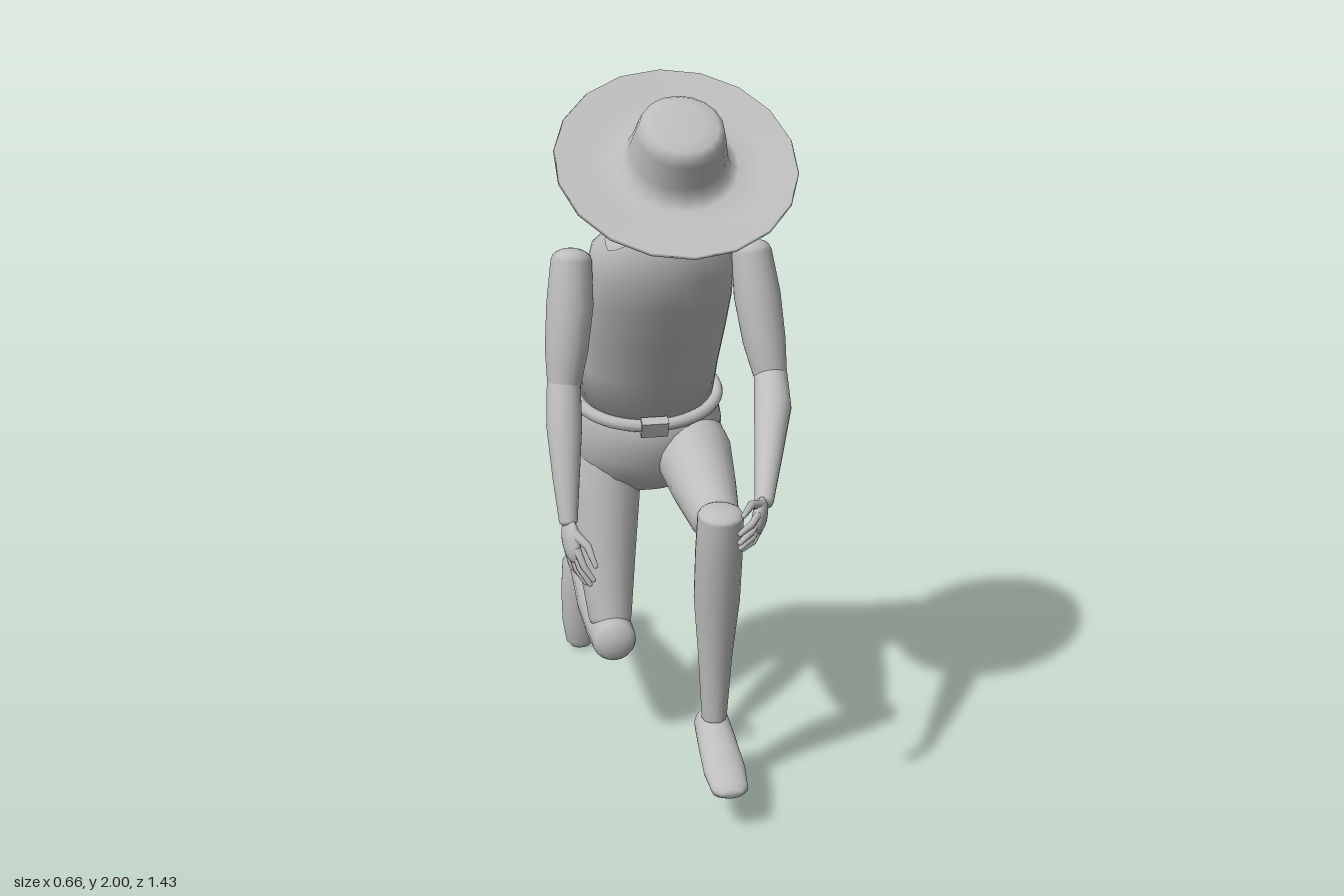
import * as THREE from 'three';

const grey = new THREE.MeshStandardMaterial({ color: 0xbdbdbd });
grey.name = 'grey';
const greyThin = grey.clone();
greyThin.name = 'grey';
greyThin.side = THREE.DoubleSide;

const V = (x, y, z) => new THREE.Vector3(x, y, z);

function part(name, geometry, parent, material = grey) {
  const mesh = new THREE.Mesh(geometry, material);
  mesh.name = name;
  parent.add(mesh);
  return mesh;
}

// Point on an elliptical ring with centre c and half axes a, b
const onRing = (r, t) => r.c.clone()
  .addScaledVector(r.a, Math.cos(t)).addScaledVector(r.b, Math.sin(t));

// Smooth closed skin through a list of rings
function loft(rings, n = 28) {
  const pos = [], idx = [];
  rings.forEach((r) => {
    for (let j = 0; j < n; j++) {
      const t = (j / n) * Math.PI * 2, p = onRing(r, t);
      p.y += (r.wave || 0) * Math.cos(8 * t);
      pos.push(p.x, p.y, p.z);
    }
  });
  for (let i = 0; i < rings.length - 1; i++) {
    for (let j = 0; j < n; j++) {
      const k = (j + 1) % n, a = i * n + j, b = i * n + k;
      idx.push(a, b, a + n, b, b + n, a + n);
    }
  }
  const first = rings.length * n, top = (rings.length - 1) * n;
  [rings[0], rings[rings.length - 1]].forEach((r) => pos.push(r.c.x, r.c.y, r.c.z));
  for (let j = 0; j < n; j++) {
    const k = (j + 1) % n;
    idx.push(first, k, j, first + 1, top + j, top + k);
  }
  const g = new THREE.BufferGeometry();
  g.setAttribute('position', new THREE.Float32BufferAttribute(pos, 3));
  g.setIndex(idx);
  g.computeVertexNormals();
  return g;
}

// Ring spanning two side-profile points [z, y], with half width w
const slice = (x, p1, p2, w, wave) => ({
  c: V(x, (p1[1] + p2[1]) / 2, (p1[0] + p2[0]) / 2),
  a: V(w, 0, 0),
  b: V(0, (p2[1] - p1[1]) / 2, (p2[0] - p1[0]) / 2),
  wave,
});
const slices = (x, list) => list.map(([p1, p2, w, wave]) => slice(x, p1, p2, w, wave));

// Tapered limb with rounded ends through [x, y, z, radius] points
function limb(points, cap = 0.6, n = 20) {
  const P = points.map((p) => V(p[0], p[1], p[2])), rings = [];
  const add = (c, d, r) => {
    const b = V(1, 0, 0).addScaledVector(d, -d.x).normalize();
    const a = b.clone().cross(d);
    rings.push({ c, a: a.multiplyScalar(r), b: b.multiplyScalar(r) });
  };
  const end = (i, d, sign, angles) => angles.forEach((s) => add(
    P[i].clone().addScaledVector(d, sign * points[i][3] * cap * Math.sin(s)),
    d, points[i][3] * Math.cos(s)));
  const last = P.length - 1;
  P.forEach((p, i) => {
    const d = P[Math.min(i + 1, last)].clone().sub(P[Math.max(i - 1, 0)]).normalize();
    if (i === 0) end(0, d, -1, [1.4, 1.1, 0.75, 0.4]);
    add(p, d, points[i][3]);
    if (i === last) end(last, d, 1, [0.4, 0.75, 1.1, 1.4]);
  });
  return loft(rings, n);
}

// Hand: fingers along local y, thumb on local +x, curling toward local z * curl
function hand(name, wrist, fingers, thumb, curl) {
  const g = new THREE.Group();
  g.name = name;
  const y = fingers.clone().normalize();
  const x = thumb.clone().addScaledVector(y, -thumb.dot(y)).normalize();
  g.quaternion.setFromRotationMatrix(new THREE.Matrix4().makeBasis(x, y, x.clone().cross(y)));
  g.position.copy(wrist);
  const palm = part('palm', new THREE.SphereGeometry(1, 18, 12), g);
  palm.scale.set(0.037, 0.062, 0.019);
  palm.position.y = 0.045;
  [0.08, 0.09, 0.085, 0.065].forEach((len, i) => {
    const fx = 0.027 - i * 0.018;
    part('finger', limb([
      [fx * 0.9, 0.075, 0, 0.0105],
      [fx * 1.1, 0.08 + len * 0.5, curl * 0.008, 0.0095],
      [fx * 1.15, 0.08 + len, curl * 0.03, 0.007]], 0.8, 8), g);
  });
  part('thumb', limb([
    [0.022, 0.03, 0, 0.014], [0.055, 0.07, curl * 0.015, 0.011],
    [0.062, 0.125, curl * 0.025, 0.007]], 0.8, 8), g);
  return g;
}

export function createModel() {
  const model = new THREE.Group();
  model.name = 'kneelingFigure';

  // Torso and pelvis
  const chest = slices(0, [
    [[-0.01, 0.99], [-0.235, 1.1], 0.188],
    [[0.06, 1.13], [-0.19, 1.2], 0.192],
    [[0.13, 1.25], [-0.155, 1.29], 0.199],
    [[0.2, 1.38], [-0.105, 1.39], 0.204],
    [[0.24, 1.47], [-0.06, 1.475], 0.2],
    [[0.246, 1.55], [-0.015, 1.555], 0.185],
    [[0.23, 1.6], [0.045, 1.615], 0.13],
    [[0.21, 1.625], [0.08, 1.645], 0.075],
  ]);
  part('torso', loft(chest, 36), model);
  part('pelvis', loft(slices(0, [
    [[-0.15, 0.742], [-0.22, 0.74], 0.05],
    [[-0.09, 0.76], [-0.285, 0.758], 0.125],
    [[-0.04, 0.81], [-0.342, 0.805], 0.195],
    [[-0.01, 0.87], [-0.367, 0.89], 0.225],
    [[0.005, 0.93], [-0.345, 0.99], 0.222],
    [[0.0, 0.97], [-0.295, 1.06], 0.207],
    [[-0.01, 0.995], [-0.24, 1.1], 0.19],
  ]), 36), model);

  // Belt and buckle
  const beltRing = slice(0, [0.005, 0.99], [-0.25, 1.105], 0.2);
  const beltPath = new THREE.CatmullRomCurve3(
    Array.from({ length: 24 }, (_, i) => onRing(beltRing, (i / 24) * Math.PI * 2)), true);
  part('belt', new THREE.TubeGeometry(beltPath, 48, 0.018, 10, true), model);
  const buckle = part('buckle', new THREE.BoxGeometry(0.075, 0.05, 0.03), model);
  buckle.position.set(0, 0.988, 0.012);
  buckle.rotation.x = 0.42;

  // Neck, collar band and folded collar
  part('neck', limb([[0, 1.58, 0.14, 0.055], [0, 1.72, 0.22, 0.055]]), model);
  part('collarBand', loft(slices(0, [
    [[0.22, 1.605], [0.07, 1.645], 0.082],
    [[0.205, 1.64], [0.1, 1.685], 0.064],
  ])), model);
  const flapPos = [], flapIdx = [], around = 48, down = 6;
  for (let j = 0; j <= around; j++) {
    const t = (j / around) * Math.PI * 2 - Math.PI / 2;
    const off = Math.min(j, around - j) / around * 360;
    const reach = off < 50 ? 0.5 + off / 50 * 1.5 : Math.max(0.5, 2 - (off - 50) / 40);
    for (let i = 0; i <= down; i++) {
      const s = (i / down) * reach, k = Math.min(1, Math.floor(s));
      const p = onRing(chest[7 - k], t).lerp(onRing(chest[6 - k], t), s - k);
      const out = p.clone().sub(V(0, 1.5, 0.12)).normalize();
      p.addScaledVector(out, 0.013);
      flapPos.push(p.x, p.y, p.z);
      if (j < around && i < down) {
        const a = j * (down + 1) + i, b = a + down + 1;
        flapIdx.push(a, a + 1, b, b, a + 1, b + 1);
      }
    }
  }
  const flap = new THREE.BufferGeometry();
  flap.setAttribute('position', new THREE.Float32BufferAttribute(flapPos, 3));
  flap.setIndex(flapIdx);
  flap.computeVertexNormals();
  part('collar', flap, model, greyThin);

  // Head bowed forward, with hair, face and hat
  const head = new THREE.Group();
  head.name = 'head';
  head.position.set(0, 1.755, 0.28);
  head.rotation.x = 0.62;
  model.add(head);
  part('skull', loft(slices(0, [
    [[0.095, -0.128], [0.03, -0.122], 0.03],
    [[0.118, -0.11], [-0.03, -0.1], 0.062],
    [[0.122, -0.06], [-0.105, -0.07], 0.088],
    [[0.124, 0.0], [-0.138, -0.01], 0.1],
    [[0.118, 0.06], [-0.13, 0.06], 0.1],
    [[0.09, 0.12], [-0.09, 0.12], 0.08],
  ])), head);
  part('hair', loft(slices(0, [
    [[0.128, 0.05], [-0.135, -0.085], 0.104, 0.01],
    [[0.132, 0.06], [-0.152, -0.03], 0.11],
    [[0.126, 0.085], [-0.138, 0.05], 0.108],
    [[0.1, 0.12], [-0.1, 0.12], 0.09],
  ]), 48), head);
  const nose = part('nose', new THREE.SphereGeometry(0.016, 12, 8), head);
  nose.scale.set(0.8, 1.5, 1);
  nose.position.set(0, -0.03, 0.124);
  for (const s of [1, -1]) {
    const eye = part('eye', new THREE.SphereGeometry(0.012, 12, 8), head);
    eye.position.set(s * 0.04, 0.005, 0.109);
  }
  const hatProfile = [
    [0, -0.008], [0.12, -0.01], [0.22, -0.008], [0.3, 0.003], [0.312, 0.008], [0.308, 0.015],
    [0.22, 0.004], [0.16, 0.006], [0.137, 0.018], [0.125, 0.05], [0.113, 0.115],
    [0.107, 0.138], [0.092, 0.15], [0.06, 0.156], [0, 0.158],
  ].map(([r, h]) => new THREE.Vector2(r, h));
  part('hat', new THREE.LatheGeometry(hatProfile, 18), head).position.set(0, 0.078, 0.006);

  // Left arm reaching forward
  part('leftUpperArm', limb([[0.242, 1.515, 0.125, 0.055], [0.255, 1.4, 0.148, 0.063],
    [0.27, 1.28, 0.175, 0.058], [0.282, 1.195, 0.2, 0.046]]), model);
  part('leftForearm', limb([[0.284, 1.19, 0.2, 0.045], [0.268, 1.135, 0.3, 0.05],
    [0.23, 1.055, 0.43, 0.037], [0.19, 0.975, 0.56, 0.025]]), model);
  model.add(hand('leftHand', V(0.186, 0.97, 0.565), V(-0.06, -0.05, 0.15), V(-0.1, 1, 0.2), -1));

  // Right arm hanging
  part('rightUpperArm', limb([[-0.242, 1.515, 0.125, 0.055], [-0.25, 1.4, 0.148, 0.063],
    [-0.263, 1.28, 0.165, 0.058], [-0.272, 1.195, 0.178, 0.046]]), model);
  part('rightForearm', limb([[-0.273, 1.2, 0.175, 0.045], [-0.28, 1.09, 0.225, 0.048],
    [-0.284, 0.96, 0.28, 0.036], [-0.285, 0.855, 0.318, 0.025]]), model);
  model.add(hand('rightHand', V(-0.285, 0.85, 0.32), V(0.02, -0.2, 0.09), V(0.4, 0.2, 0.9), 1));

  // Left leg, knee raised with the foot in front
  part('leftThigh', limb([[0.122, 0.875, -0.19, 0.112], [0.124, 0.875, -0.05, 0.108],
    [0.12, 0.845, 0.12, 0.09], [0.117, 0.822, 0.285, 0.068]]), model);
  part('leftShin', limb([[0.115, 0.865, 0.375, 0.062], [0.115, 0.76, 0.358, 0.064],
    [0.117, 0.6, 0.325, 0.063], [0.118, 0.42, 0.305, 0.047], [0.118, 0.23, 0.3, 0.035]], 0.35), model);
  part('leftFoot', loft(slices(0.118, [
    [[0.235, 0.165], [0.24, 0.225], 0.035],
    [[0.25, 0.14], [0.27, 0.248], 0.048],
    [[0.33, 0.125], [0.34, 0.222], 0.053],
    [[0.45, 0.105], [0.45, 0.178], 0.058],
    [[0.525, 0.097], [0.53, 0.15], 0.05],
    [[0.55, 0.11], [0.55, 0.135], 0.03],
  ])), model);

  // Right leg, kneeling with the foot behind
  part('rightThigh', limb([[-0.12, 0.86, -0.185, 0.112], [-0.12, 0.74, -0.15, 0.106],
    [-0.119, 0.56, -0.105, 0.084], [-0.117, 0.39, -0.055, 0.062]]), model);
  part('rightShin', limb([[-0.117, 0.348, 0.015, 0.063], [-0.117, 0.342, -0.1, 0.066],
    [-0.117, 0.338, -0.27, 0.066], [-0.117, 0.31, -0.45, 0.05], [-0.117, 0.285, -0.63, 0.036]], 0.5), model);
  part('rightFoot', loft(slices(-0.118, [
    [[-0.7, 0.325], [-0.62, 0.325], 0.037],
    [[-0.72, 0.3], [-0.602, 0.3], 0.055],
    [[-0.718, 0.2], [-0.61, 0.2], 0.06],
    [[-0.708, 0.1], [-0.625, 0.1], 0.057],
    [[-0.7, 0.025], [-0.638, 0.025], 0.045],
    [[-0.685, 0.002], [-0.655, 0.002], 0.025],
  ])), model);

  return model;
}
